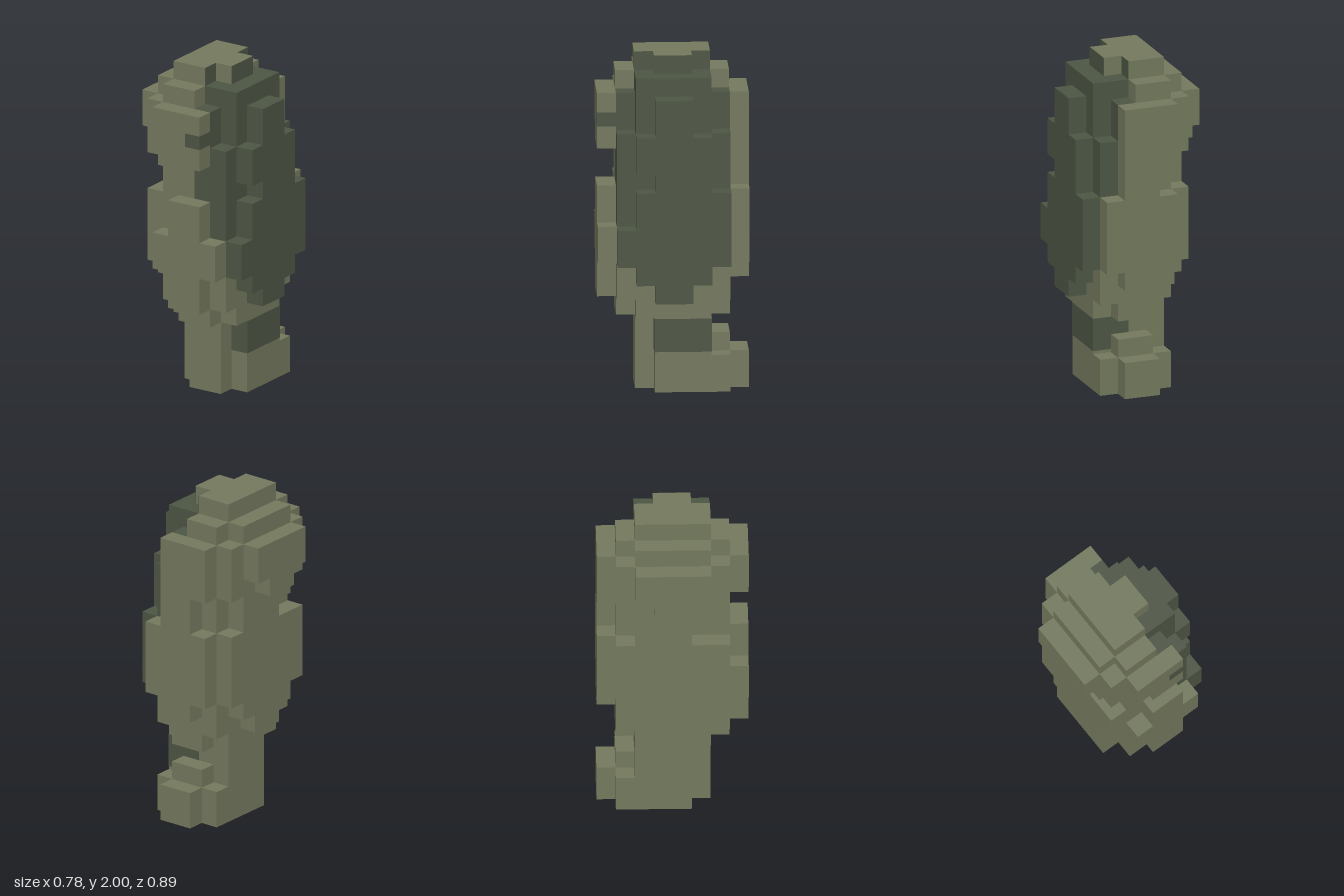
import * as THREE from 'three';

const U = 2 / 18; // edge of one cube cell

export function createModel() {
  const model = new THREE.Group();
  model.name = 'blockFigure';
  const olive = new THREE.MeshStandardMaterial({ color: 0x74795e });
  olive.name = 'olive';
  const dark = new THREE.MeshStandardMaterial({ color: 0x4d5644 });
  dark.name = 'darkGreen';

  // Each block is [x0, x1, y0, y1, z0, z1] in cells; x runs 0-7, y 0-18, z 0-8
  const part = (name, material, blocks) => {
    const group = new THREE.Group();
    group.name = name;
    for (const [x0, x1, y0, y1, z0, z1] of blocks) {
      const mesh = new THREE.Mesh(
        new THREE.BoxGeometry((x1 - x0) * U, (y1 - y0) * U, (z1 - z0) * U), material);
      mesh.position.set(((x0 + x1) / 2 - 3.5) * U, ((y0 + y1) / 2) * U, ((z0 + z1) / 2 - 4) * U);
      mesh.name = name;
      group.add(mesh);
    }
    model.add(group);
  };

  part('foot', olive, [
    [2, 6, 0, 2, 1, 5],
    [3, 5, 0, 2, 0, 1],
    [3, 5, 2, 3, 1, 2],
  ]);
  part('leg', olive, [
    [2, 6, 2, 4, 2, 5],
    [3, 5, 0, 4, 5, 6],
  ]);
  part('legBand', dark, [[4, 6.02, 2.18, 3.97, 1.98, 5.02]]);
  part('sole', dark, [[3, 5, -0.01, 0.02, 1, 5]]);

  part('waist', olive, [
    [2, 6, 4, 5, 2, 6],
    [3, 5, 4, 5, 1, 7],
  ]);
  part('core', olive, [
    [2, 5, 5, 11, 1, 7],
    [5, 6, 5, 7, 1, 7],
    [2, 4, 11, 16, 1, 7],
  ]);
  part('frontPlates', olive, [
    [3, 5, 5, 7, 7, 8],
    [2, 6, 7, 9, 7, 8],
    [3, 5, 9, 11, 7, 8],
    [3, 5, 13, 14, 7, 8],
    [2, 5, 14, 16, 7, 8],
  ]);
  part('backPlates', olive, [
    [3, 5, 6, 7, 0, 1],
    [2, 6, 7, 11, 0, 1],
    [3, 5, 11, 13, 0, 1],
    [2, 5, 13, 16, 0, 1],
  ]);
  part('rightSide', olive, [
    [1, 2, 5, 6, 3, 5],
    [1, 2, 6, 7, 2, 6],
    [1, 2, 7, 11, 1, 7],
    [1, 2, 11, 12, 2, 5],
    [1, 2, 12, 13, 2, 6],
    [1, 2, 13, 16, 1, 7],
  ]);
  part('rightBump', olive, [
    [0, 1, 13, 14, 3, 5],
    [0, 1, 14, 16, 2, 6],
  ]);
  part('crown', olive, [
    [2, 4, 16, 17, 1, 7],
    [1, 2, 16, 17, 2, 6],
    [2, 4, 17, 18, 2, 6],
    [4, 5, 17, 18, 3, 5],
  ]);

  part('leftCore', dark, [
    [4, 5, 11, 16, 1, 7],
    [5, 6, 7, 14, 1, 7],
    [5, 6, 14, 16, 2, 6],
    [4, 6, 16, 17, 2, 6],
  ]);
  part('leftSide', dark, [
    [6, 7, 5, 6, 3, 5],
    [6, 7, 6, 7, 2, 6],
    [6, 7, 7, 9, 1, 7],
    [6, 7, 9, 11, 1, 6],
    [6, 7, 11, 12, 2, 5],
    [6, 7, 12, 14, 2, 6],
    [6, 7, 14, 16, 3, 5],
  ]);

  // Thin painted faces
  part('crownSidePaint', dark, [
    [5, 5.02, 17, 18, 3, 5],
    [4, 4.02, 17, 18, 2, 3],
    [4, 4.02, 17, 18, 5, 6],
  ]);
  part('eyePatch', dark, [
    [4.1, 5.02, 14.2, 14.95, 7.9, 8.02],
    [5, 5.02, 14.2, 14.95, 7, 8.02],
  ]);

  return model;
}
